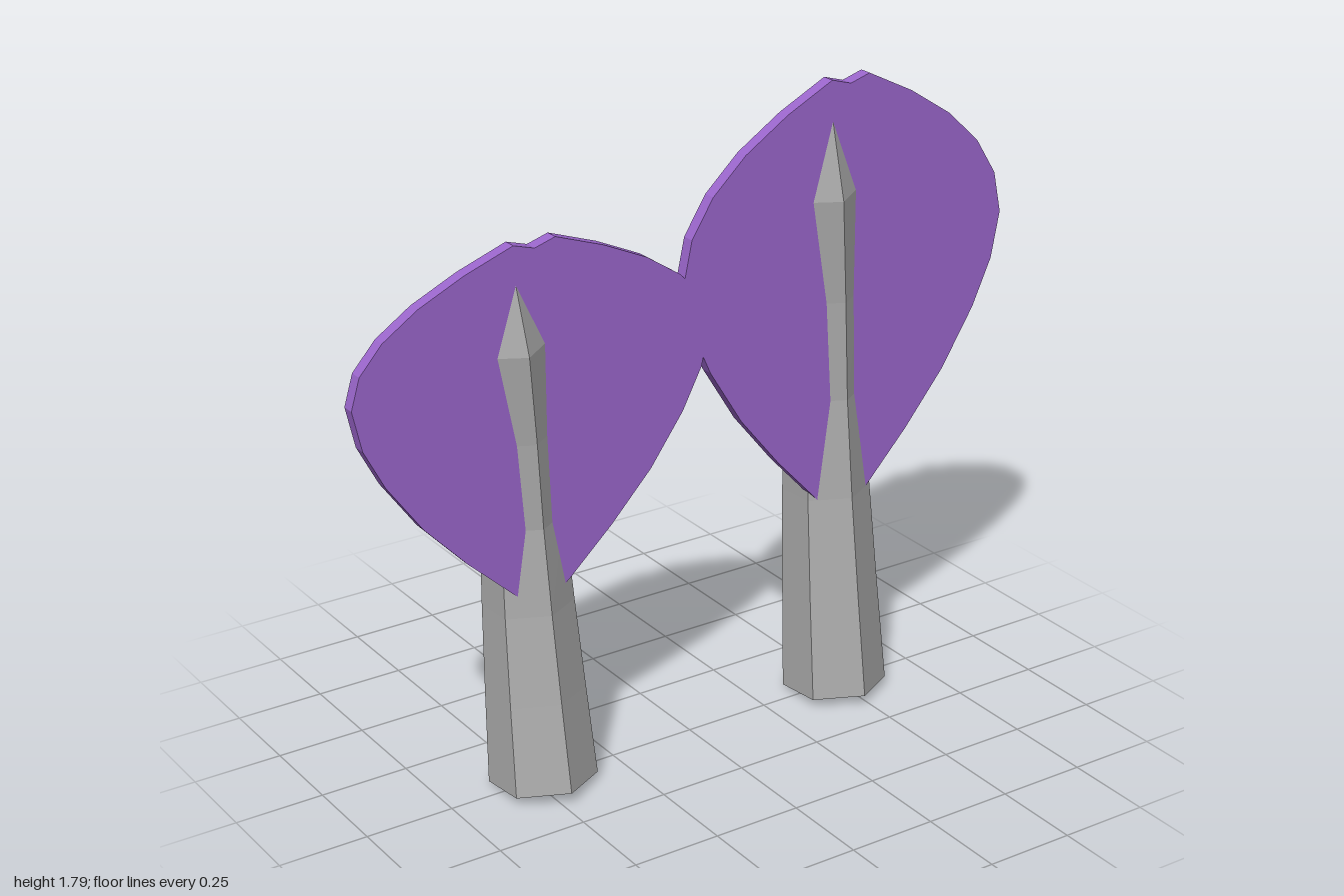
import * as THREE from 'three';

const leafMat = new THREE.MeshStandardMaterial({ color: 0x9b66cc });
leafMat.name = 'purple foliage';
const trunkMat = new THREE.MeshStandardMaterial({ color: 0xaaaaaa, flatShading: true });
trunkMat.name = 'grey trunk';

// Trunk spine: x offset, z, radius at evenly spaced heights
const SPINE = [
  [0, 0.017, 0.145], [0, -0.013, 0.133], [0, -0.04, 0.121], [-0.005, -0.053, 0.109],
  [-0.02, -0.039, 0.098], [-0.045, -0.01, 0.083], [-0.06, 0.016, 0],
];

// Half crown: x, then height above (+) or below (-) the widest level as a fraction
const CROWN = [
  [0.06, 1], [0.2, 0.85], [0.33, 0.67], [0.43, 0.47], [0.495, 0.25], [0.52, 0],
  [0.495, -0.165], [0.437, -0.33], [0.337, -0.535], [0.215, -0.725], [0.083, -0.905],
];

// Bent hexagonal trunk, each ring square to the spine
function makeTrunk(height) {
  const last = SPINE.length - 1;
  const centers = SPINE.map(([x, z], i) => new THREE.Vector3(x, 0.015 + height * i / last, z));
  const up = new THREE.Vector3(0, 1, 0);
  const rings = centers.map((c, i) => {
    const dir = centers[Math.min(i + 1, last)].clone().sub(centers[Math.max(i - 1, 0)]).normalize();
    const q = new THREE.Quaternion().setFromUnitVectors(up, dir);
    return Array.from({ length: 6 }, (_, k) => {
      const a = k * Math.PI / 3, r = SPINE[i][2];
      return new THREE.Vector3(Math.sin(a) * r, 0, Math.cos(a) * r).applyQuaternion(q).add(c);
    });
  });
  const pts = [];
  for (let k = 0; k < 6; k++) {
    const n = (k + 1) % 6;
    pts.push(centers[0], rings[0][n], rings[0][k]); // base cap
    for (let i = 0; i < last; i++) {
      const a = rings[i][k], b = rings[i][n], c = rings[i + 1][n], d = rings[i + 1][k];
      pts.push(a, b, c);
      if (i < last - 1) pts.push(a, c, d);
    }
  }
  const geo = new THREE.BufferGeometry().setFromPoints(pts);
  geo.computeVertexNormals();
  return new THREE.Mesh(geo, trunkMat);
}

// Flat crown plate with a notch on top and a point below
function makeCrown(top, widest, bottom) {
  const right = CROWN.map(([x, t]) =>
    new THREE.Vector2(x, widest + t * (t > 0 ? top - widest : widest - bottom)));
  const left = right.map((p) => new THREE.Vector2(-p.x, p.y)).reverse();
  const outline = [new THREE.Vector2(0, top - 0.018), ...right, new THREE.Vector2(0, bottom), ...left];
  const geo = new THREE.ExtrudeGeometry(new THREE.Shape(outline), { depth: 0.036, bevelEnabled: false });
  geo.translate(0, 0, -0.003);
  return new THREE.Mesh(geo, leafMat);
}

export function createModel() {
  const model = new THREE.Group();
  model.name = 'treePair';
  const trees = [
    { name: 'tallTree', x: 0.48, trunk: 1.75, crown: [1.787, 1.32, 0.53] },
    { name: 'shortTree', x: -0.48, trunk: 1.485, crown: [1.528, 1.197, 0.52] },
  ];
  for (const t of trees) {
    const tree = new THREE.Group();
    tree.name = t.name;
    tree.position.x = t.x;
    const trunk = makeTrunk(t.trunk);
    trunk.name = 'trunk';
    const crown = makeCrown(...t.crown);
    crown.name = 'crown';
    tree.add(trunk, crown);
    model.add(tree);
  }
  return model;
}
